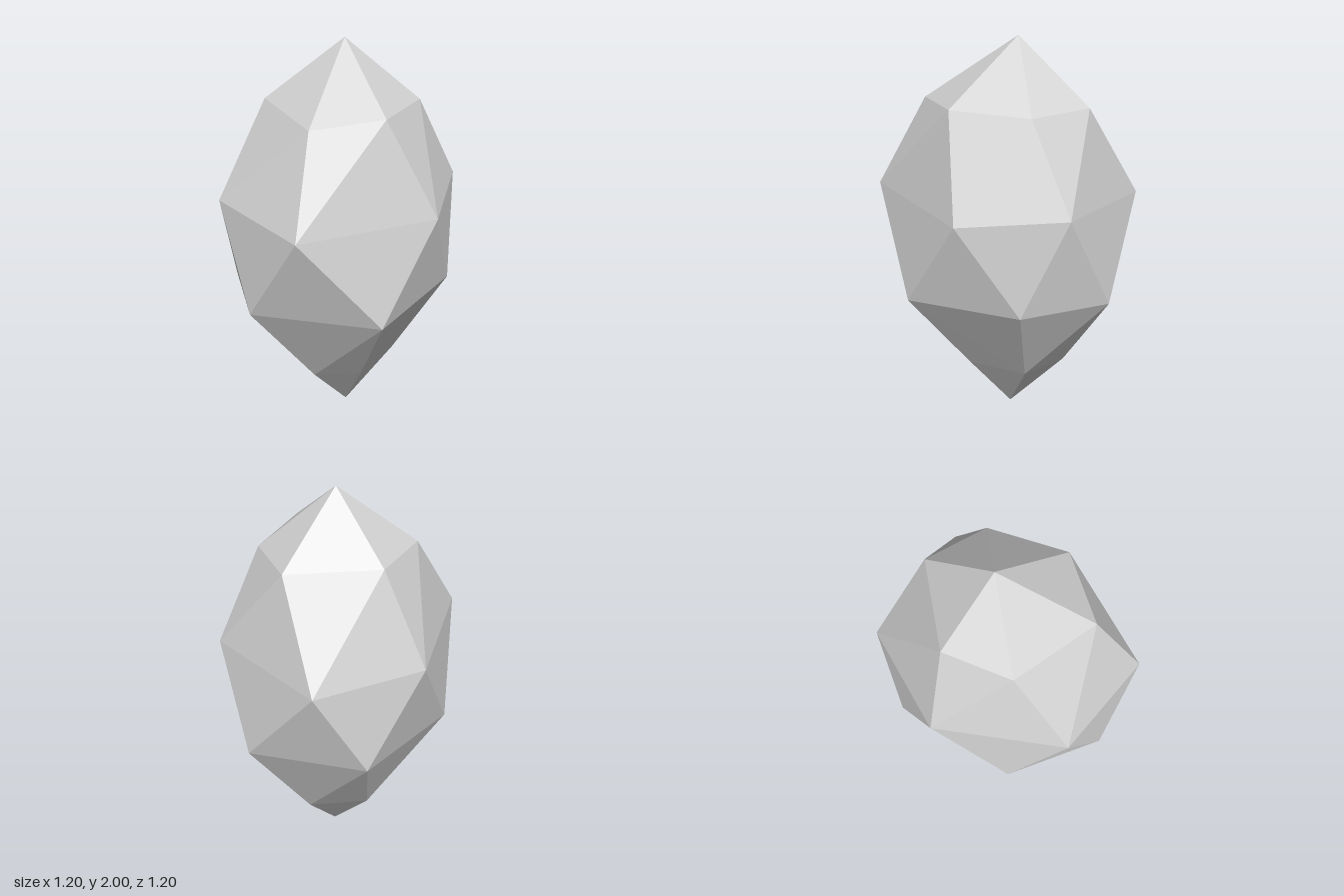
import * as THREE from 'three';
import { ConvexGeometry } from 'three/addons/geometries/ConvexGeometry.js';

// Uneven six-sided rings of corners, from bottom tip to top tip: [x, y, z]
const tips = [[0.03, 0, 0], [0.025, 2, -0.04]];
const rings = [
  // lower taper
  [[0.28, 0.31, 0], [0.08, 0.31, 0.235], [-0.16, 0.31, 0.23],
    [-0.25, 0.31, -0.01], [-0.11, 0.31, -0.245], [0.19, 0.31, -0.24]],
  // waist
  [[0.54, 0.78, 0.11], [0.135, 0.75, 0.56], [-0.48, 0.77, 0.38],
    [-0.53, 0.74, -0.12], [-0.055, 0.77, -0.57], [0.495, 0.77, -0.355]],
  // shoulder
  [[0.595, 1.27, -0.11], [0.415, 1.23, 0.39], [-0.27, 1.23, 0.6],
    [-0.6, 1.275, 0.15], [-0.34, 1.24, -0.45], [0.205, 1.22, -0.6]],
  // crown
  [[0.385, 1.7, 0.01], [0.17, 1.71, 0.34], [-0.185, 1.68, 0.37],
    [-0.36, 1.71, -0.055], [-0.155, 1.71, -0.33], [0.3, 1.7, -0.3]],
];

export function createModel() {
  const group = new THREE.Group();
  group.name = 'rock';

  const stone = new THREE.MeshStandardMaterial({ color: 0xd2d2d2 });
  stone.name = 'pale grey stone';

  // Faceted stone: flat faces spanning the corners
  const points = [...tips, ...rings.flat()].map((p) => new THREE.Vector3(...p));
  const body = new THREE.Mesh(new ConvexGeometry(points), stone);
  body.name = 'facetedStone';
  group.add(body);

  return group;
}
